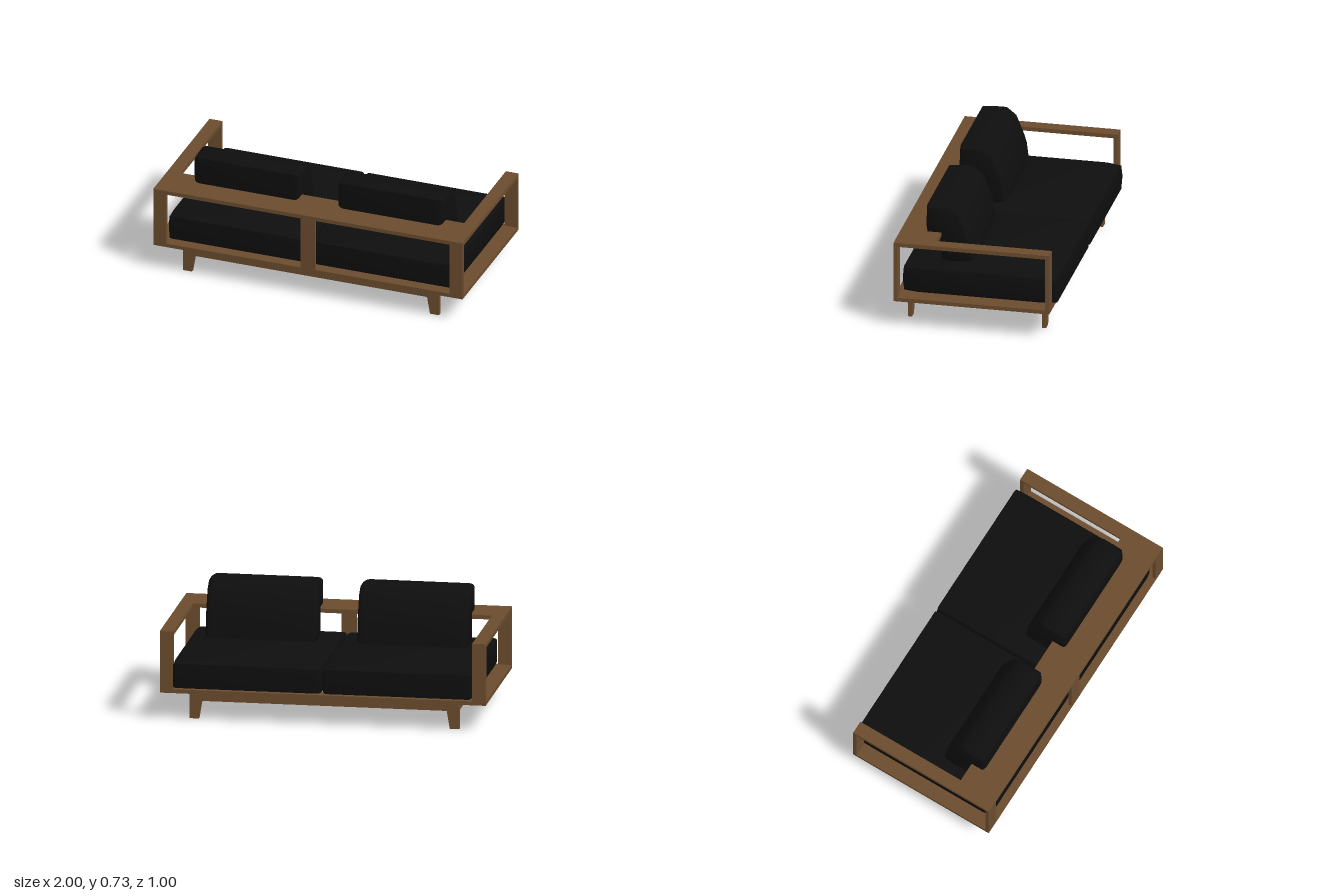
import * as THREE from 'three';
import { toCreasedNormals } from 'three/addons/utils/BufferGeometryUtils.js';

export function createModel() {
  const sofa = new THREE.Group();
  sofa.name = 'sofa';
  const wood = new THREE.MeshStandardMaterial({ color: 0x6b4c2e });
  wood.name = 'walnut wood';
  const fabric = new THREE.MeshStandardMaterial({ color: 0x0e0e0e });
  fabric.name = 'black fabric';

  const add = (name, geometry, material) => {
    const mesh = new THREE.Mesh(geometry, material);
    mesh.name = name;
    sofa.add(mesh);
    return mesh;
  };
  // Wooden board given by its extents on each axis
  const board = (name, x0, x1, y0, y1, z0, z1) => {
    const g = new THREE.BoxGeometry(x1 - x0, y1 - y0, z1 - z0);
    g.translate((x0 + x1) / 2, (y0 + y1) / 2, (z0 + z1) / 2);
    return add(name, g, wood);
  };
  const polygon = (points) => new THREE.Shape(points.map(([a, b]) => new THREE.Vector2(a, b)));
  const rectangle = (a0, a1, b0, b1) => polygon([[a0, b0], [a1, b0], [a1, b1], [a0, b1]]);
  // Profile drawn in (z, y), extruded along x from x0 to x1
  const sideExtrude = (shape, x0, x1, bevelX = 0, inset = 0) => {
    const g = new THREE.ExtrudeGeometry(shape, {
      depth: x1 - x0 - 2 * bevelX, steps: 1,
      bevelEnabled: bevelX > 0, bevelThickness: bevelX, bevelSize: inset,
      bevelOffset: -inset, bevelSegments: 3,
    });
    g.rotateY(-Math.PI / 2);
    g.translate(x1 - bevelX, 0, 0);
    return g;
  };

  // Open rectangular arm frames
  for (const [name, x0, x1] of [['rightArmFrame', -1, -0.917], ['leftArmFrame', 0.917, 1]]) {
    const outline = rectangle(-0.465, 0.5, 0.166, 0.55);
    outline.holes.push(rectangle(-0.44, 0.477, 0.19, 0.525));
    add(name, sideExtrude(outline, x0, x1), wood);
  }

  // Shelf along the backrest and its centre post
  board('backShelf', -0.917, 0.917, 0.525, 0.55, 0.25, 0.5);
  board('centrePost', -0.048, 0.045, 0.19, 0.525, 0.477, 0.5);

  // Flat platform ring under the seat
  const ring = rectangle(-0.917, 0.917, -0.5, 0.465);
  ring.holes.push(rectangle(-0.77, 0.77, -0.4, 0.365));
  const platform = new THREE.ExtrudeGeometry(ring, { depth: 0.024, bevelEnabled: false });
  platform.rotateX(-Math.PI / 2);
  platform.translate(0, 0.166, 0);
  add('platform', platform, wood);

  // Base rails: long rails, end rails and two cross rails
  board('baseBackRail', -0.77, 0.77, 0.11, 0.166, 0.41, 0.447);
  board('baseFrontRail', -0.77, 0.77, 0.11, 0.166, -0.407, -0.37);
  for (const s of [-1, 1]) {
    board('baseEndRail', s * 0.797 - 0.028, s * 0.797 + 0.028, 0.11, 0.166, -0.39, 0.43);
    board('baseCrossRail', s * 0.105 - 0.025, s * 0.105 + 0.025, 0.11, 0.166, -0.37, 0.41);
  }

  // Legs taper on their inner side
  for (const s of [-1, 1]) {
    for (const z of [-0.408, 0.423]) {
      const points = [[0.77, 0], [0.828, 0], [0.828, 0.166], [0.742, 0.166]].map(([x, y]) => [s * x, y]);
      const leg = new THREE.ExtrudeGeometry(polygon(points), { depth: 0.025, bevelEnabled: false });
      leg.translate(0, 0, z);
      add('leg', leg, wood);
    }
  }

  // Softly bulging seat cushions
  const seatProfile = [
    [0.465, 0.28], [0.458, 0.357], [0.37, 0.369], [-0.40, 0.369], [-0.492, 0.357],
    [-0.5, 0.29], [-0.493, 0.206], [-0.40, 0.198], [0.37, 0.198], [0.456, 0.206],
  ];
  // Back cushions step over the shelf edge
  const backProfile = [
    [0.345, 0.60], [0.34, 0.724], [0.27, 0.732], [0.19, 0.732], [0.13, 0.685], [0.08, 0.56],
    [0.065, 0.51], [0.05, 0.39], [0.11, 0.375], [0.20, 0.37], [0.25, 0.38], [0.25, 0.551], [0.337, 0.551],
  ];
  const cushion = (name, profile, x0, x1, bevelX, inset) =>
    add(name, toCreasedNormals(sideExtrude(polygon(profile), x0, x1, bevelX, inset), 0.7), fabric);

  cushion('rightSeatCushion', seatProfile, -0.916, -0.006, 0.02, 0.012);
  cushion('leftSeatCushion', seatProfile, 0.007, 0.916, 0.02, 0.012);
  cushion('rightBackCushion', backProfile, -0.80, -0.12, 0.035, 0.022);
  cushion('leftBackCushion', backProfile, 0.13, 0.81, 0.035, 0.022);

  return sofa;
}
